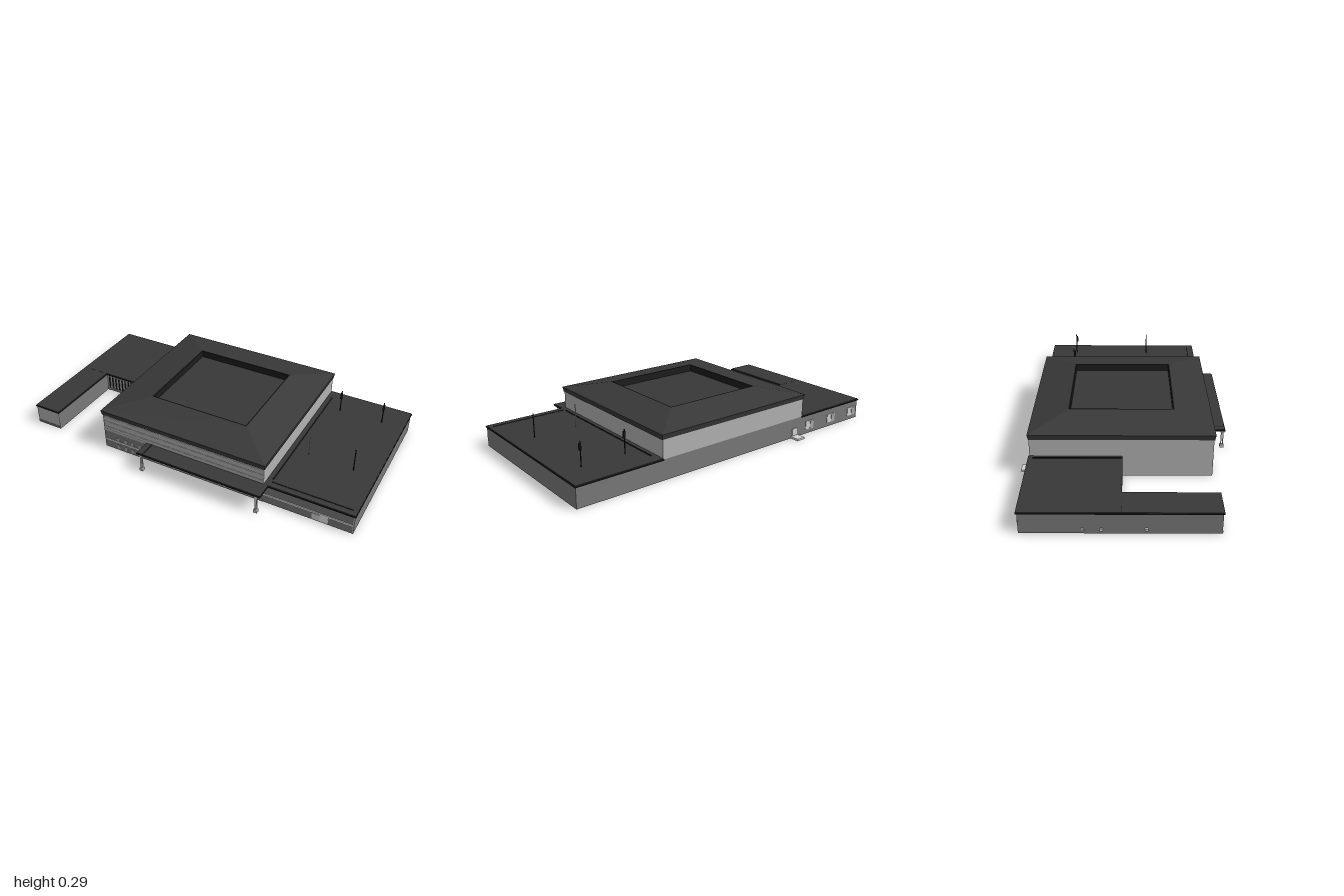
import * as THREE from 'three';

const mat = (name, color, side = THREE.FrontSide) => {
  const m = new THREE.MeshStandardMaterial({ color, side });
  m.name = name;
  return m;
};

export function createModel() {
  const g = new THREE.Group();
  g.name = 'hallBuilding';
  const roof = mat('roofCharcoal', 0x383838);
  const roofFaces = roof;
  const trim = mat('blackTrim', 0x1c1c1c);
  const dark = mat('darkWall', 0x787878);
  const light = mat('lightWall', 0xb2b2b2);
  const pale = mat('paleConcrete', 0xd2d2d2);
  const white = mat('whiteBand', 0xeeeeee);
  const glass = mat('paleGlass', 0xa8a8a8);

  // Box given by its min and max corners
  const box = (name, m, x0, x1, y0, y1, z0, z1, parent = g) => {
    const b = new THREE.Mesh(new THREE.BoxGeometry(x1 - x0, y1 - y0, z1 - z0), m);
    b.position.set((x0 + x1) / 2, (y0 + y1) / 2, (z0 + z1) / 2);
    b.name = name;
    parent.add(b);
    return b;
  };
  const T = 0.005; // wall thickness
  const xMin = -0.98, xMax = 0.99, back = -0.5, front = 0.455;
  const hallL = -0.49, hallR = 0.5, wingTop = 0.113, hallTop = 0.222;

  // Low outer walls, open underneath
  box('rightWingFrontWall', dark, hallR, xMax, 0, wingTop, front - T, front);
  box('rightWingSideWall', dark, xMax - T, xMax, 0, wingTop, back, front);
  box('backLowerWall', dark, xMin, xMax, 0, wingTop, back, back + T);
  box('leftWingSideWall', dark, xMin, xMin + T, 0, wingTop, back, front);
  box('armFrontWall', light, xMin, -0.82, 0, wingTop, front - T, front);
  box('armFrontPlinth', dark, xMin, -0.82, 0, 0.015, front, front + 0.002);
  box('armInnerWall', dark, -0.82 - T, -0.82, 0, wingTop, -0.025, front);
  box('courtyardWall', pale, -0.82, hallL, 0, wingTop, -0.025 - T, -0.025);

  // Courtyard screen: grey panel with vertical bars
  box('screenPanel', glass, -0.815, hallL, 0.012, 0.105, -0.025, -0.022);
  box('screenPlinth', dark, -0.82, hallL, 0, 0.018, -0.025, -0.02);
  for (let i = 0; i < 14; i++) {
    const x = -0.805 + i * 0.0235;
    box('screenBar', trim, x, x + 0.008, 0.02, 0.1, -0.022, -0.018);
  }

  // Tall hall walls: light above, dark cladding on the lower front
  box('hallFrontWall', light, hallL, hallR, 0, hallTop, front - T, front);
  box('hallFrontCladding', dark, hallL, hallR, 0, 0.115, front, front + 0.002);
  box('hallLeftLowerWall', light, hallL, hallL + T, 0, 0.115, -0.025, front);
  box('hallLeftUpperWall', light, hallL, hallL + T, 0.113, hallTop, back, front);
  box('hallRightUpperWall', light, hallR - T, hallR, 0.113, hallTop, back, front);
  box('hallBackUpperWall', light, hallL, hallR, 0.113, hallTop, back, back + T);

  // Flat wing roofs with a dark edge
  const slab = (name, x0, x1, z0, z1) => {
    box(name + 'Edge', trim, x0, x1, 0.11, 0.117, z0, z1);
    box(name, roof, x0 + 0.003, x1 - 0.003, 0.115, 0.12, z0 + 0.003, z1 - 0.003);
  };
  slab('rightWingRoof', hallR - 0.003, 0.995, -0.507, 0.46);
  slab('leftWingRoof', -0.985, hallL + 0.003, -0.507, -0.015);
  slab('armRoof', -0.985, -0.815, -0.02, 0.46);
  box('rightRoofSeam', trim, 0.525, 0.531, 0.12, 0.124, -0.44, 0.4);
  box('rightRoofFrontSeam', trim, 0.53, 0.97, 0.12, 0.122, 0.417, 0.423);
  box('leftRoofSeam', trim, -0.515, -0.509, 0.12, 0.124, -0.48, -0.02);

  // Hipped hall roof: rectangular rings joined by sloping bands
  const band = (name, m, a, b) => {
    const ring = ([x0, x1, z0, z1, y]) => [[x0, y, z1], [x1, y, z1], [x1, y, z0], [x0, y, z0]];
    const A = ring(a), B = ring(b), p = [];
    for (let i = 0; i < 4; i++) {
      const j = (i + 1) % 4;
      p.push(...A[i], ...A[j], ...B[j], ...A[i], ...B[j], ...B[i]);
    }
    const geo = new THREE.BufferGeometry();
    geo.setAttribute('position', new THREE.Float32BufferAttribute(p, 3));
    geo.computeVertexNormals();
    const mesh = new THREE.Mesh(geo, m);
    mesh.name = name;
    g.add(mesh);
  };
  const eaveLow = [-0.494, 0.504, -0.502, 0.46, 0.22];
  const eaveTop = [-0.498, 0.508, -0.507, 0.465, 0.246];
  const rim = [-0.288, 0.302, -0.308, 0.262, 0.287];
  const rimIn = [-0.281, 0.295, -0.301, 0.255, 0.287];
  const well = [-0.281, 0.295, -0.301, 0.255, 0.247];
  band('roofFascia', roofFaces, eaveLow, eaveTop);
  band('roofSlopes', roofFaces, eaveTop, rim);
  band('roofRim', trim, rim, rimIn);
  band('roofWellWalls', trim, rimIn, well);
  box('roofWellFloor', roof, -0.281, 0.295, 0.24, 0.247, -0.301, 0.255);
  box('hallCeiling', roof, -0.494, 0.504, 0.218, 0.222, -0.502, 0.46);

  // Pale bands across the front
  const f = front + 0.002;
  box('frontBand', white, hallL, xMax, 0.05, 0.058, front, f + 0.002);
  box('hallUpperBand', white, hallL, -0.21, 0.115, 0.121, front, f + 0.002);
  for (const y of [0.14, 0.174, 0.205])
    box('hallThinBand', pale, hallL, hallR, y, y + 0.003, front, f);
  for (const x of [hallL, hallR - 0.004])
    box('hallCornerStrip', pale, x, x + 0.004, 0.12, 0.22, front, f);
  box('wingCornerStrip', pale, xMax - 0.005, xMax, 0, 0.11, front, f);

  // Front windows and doors
  for (const x of [-0.4, -0.35, -0.305, -0.255]) {
    box('upperWindow', glass, x - 0.009, x + 0.009, 0.062, 0.085, f, f + 0.002);
    box('lowerWindow', glass, x - 0.009, x + 0.009, 0.01, 0.035, f, f + 0.002);
  }
  for (const x of [-0.13, -0.1, -0.035, -0.01, 0.15, 0.178, 0.247, 0.275])
    box('frontDoor', glass, x - 0.008, x + 0.008, 0.008, 0.045, f, f + 0.002);
  box('serviceDoor', pale, 0.77, 0.815, 0.005, 0.044, front, f);
  box('serviceGate', white, 0.812, 0.858, 0.005, 0.056, front, f + 0.001);

  // Entrance canopy on paired posts
  box('canopyRoof', roof, -0.21, 0.524, 0.112, 0.12, front - 0.01, 0.55);
  box('canopyEdge', trim, -0.214, 0.526, 0.11, 0.116, front - 0.01, 0.553);
  box('canopySeam', trim, -0.177, -0.172, 0.12, 0.122, front, 0.55);
  for (const x of [-0.19, 0.5]) {
    const post = new THREE.Group();
    post.name = 'canopyPost';
    g.add(post);
    box('postBase', pale, x - 0.011, x + 0.011, 0, 0.015, 0.529, 0.551, post);
    box('postHead', pale, x - 0.011, x + 0.011, 0.095, 0.11, 0.529, 0.551, post);
    for (const z of [0.533, 0.543])
      box('postShaft', pale, x - 0.005, x + 0.005, 0.015, 0.095, z, z + 0.004, post);
  }

  // Rear windows, door and step
  for (const x of [-0.555, -0.74, -0.925]) {
    box('rearWindow', pale, x - 0.035, x + 0.03, 0.025, 0.075, back - 0.003, back);
    box('rearWindowPane', glass, x - 0.035, x - 0.005, 0.028, 0.07, back - 0.005, back - 0.002);
  }
  box('rearDoor', pale, -0.452, -0.415, 0.012, 0.055, back - 0.003, back);
  box('rearStep', pale, -0.46, -0.405, 0, 0.012, -0.555, back);

  // Small fittings along the left side
  for (const z of [-0.2, -0.11, 0.1])
    box('sideVent', pale, xMin - 0.008, xMin, 0.018, 0.03, z - 0.008, z + 0.008);

  // Roof masts; the rear pair carries box heads
  for (const x of [0.615, 0.865]) for (const z of [0.135, -0.34]) {
    const m = x < 0.7 && z > 0 ? pale : trim;
    const mast = new THREE.Mesh(new THREE.CylinderGeometry(0.003, 0.003, 0.133, 8), m);
    mast.position.set(x, 0.1855, z);
    mast.name = 'roofMast';
    g.add(mast);
    if (z < 0) box('mastHead', trim, x - 0.005, x + 0.005, 0.203, 0.24, z - 0.002, z + 0.01);
  }
  return g;
}
